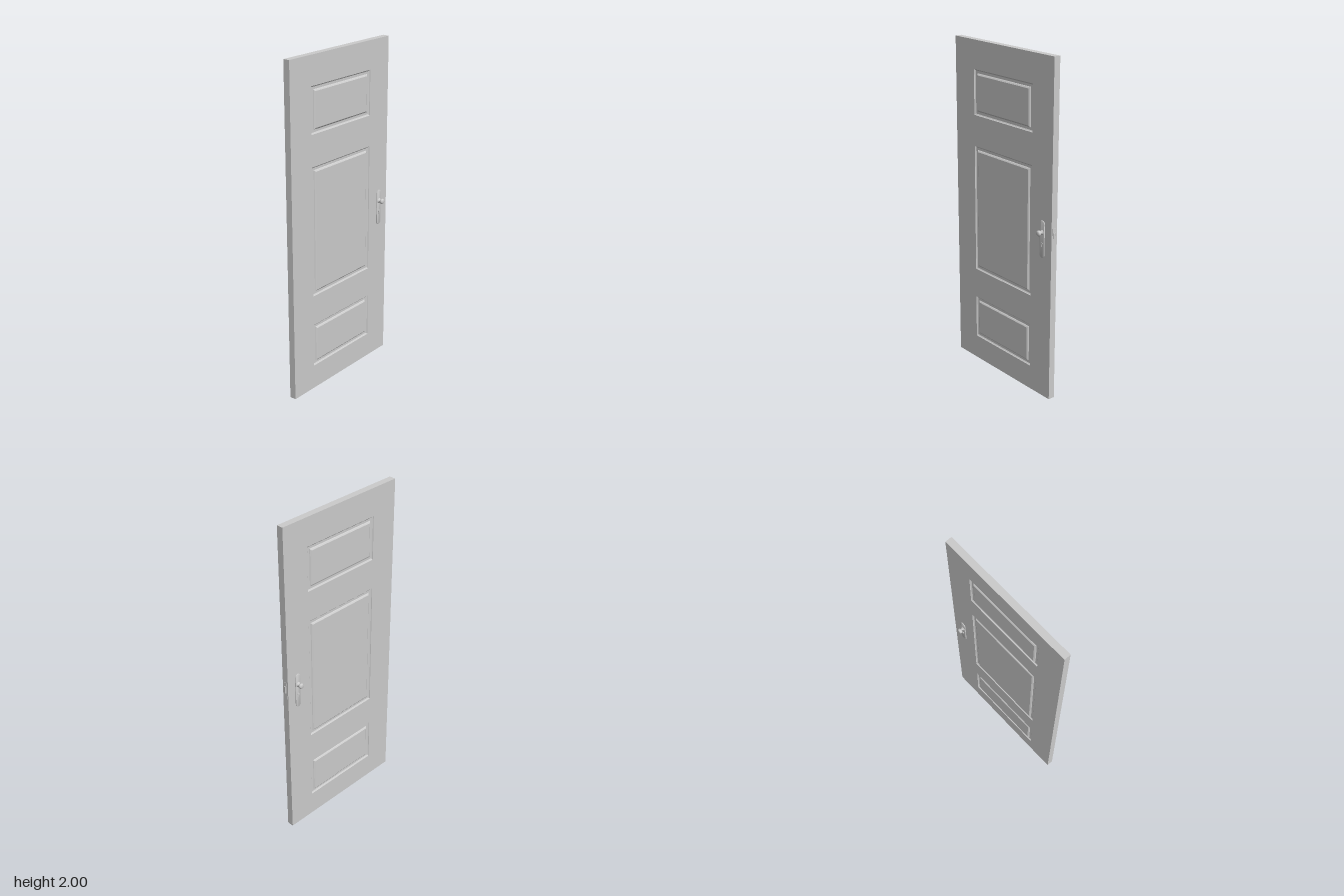
import * as THREE from 'three';
import { toCreasedNormals } from 'three/addons/utils/BufferGeometryUtils.js';

const material = new THREE.MeshStandardMaterial({ color: 0xcccccc });
const DOOR = { left: -0.427, right: 0.42, height: 2, half: 0.02 };
const PANEL_X = -0.003, PANEL_W = 0.51;
const PANELS = [
  { name: 'topPanel', y0: 1.565, y1: 1.832 },
  { name: 'middlePanel', y0: 0.602, y1: 1.38 },
  { name: 'bottomPanel', y0: 0.15, y1: 0.418 },
];
const HANDLE_X = 0.346;

function part(name, geometry, parent) {
  const mesh = new THREE.Mesh(geometry, material);
  mesh.name = name;
  parent.add(mesh);
  return mesh;
}

function rectangle(PathType, x0, y0, x1, y1) {
  return new PathType([[x0, y0], [x1, y0], [x1, y1], [x0, y1]].map(p => new THREE.Vector2(...p)));
}

// Grooved moulding around a raised field, as nested rectangular rings
function panelGeometry(w, h) {
  const profile = [[0, 0.02], [0.002, 0.016], [0.008, 0.012], [0.022, 0.012], [0.025, 0.016], [0.032, 0.0206]];
  const rings = profile.map(([inset, z]) => {
    const x = w / 2 - inset, y = h / 2 - inset;
    return [[-x, -y, z], [x, -y, z], [x, y, z], [-x, y, z]];
  });
  const positions = [];
  const quad = (a, b, c, d) => positions.push(...a, ...b, ...c, ...a, ...c, ...d);
  for (let i = 0; i < rings.length - 1; i++) {
    for (let k = 0; k < 4; k++) {
      const n = (k + 1) % 4;
      quad(rings[i][k], rings[i][n], rings[i + 1][n], rings[i + 1][k]);
    }
  }
  quad(...rings[rings.length - 1]);
  const geometry = new THREE.BufferGeometry();
  geometry.setAttribute('position', new THREE.Float32BufferAttribute(positions, 3));
  geometry.computeVertexNormals();
  return geometry;
}

// Knob, long rounded plate and keyhole cylinder for one side
function createHandle() {
  const handle = new THREE.Group();
  const r = 0.019, low = 0.885, high = 1.066;
  const outline = new THREE.Shape();
  outline.absarc(0, high, r, 0, Math.PI);
  outline.absarc(0, low, r, Math.PI, Math.PI * 2);
  outline.closePath();
  const plate = new THREE.ExtrudeGeometry(outline, {
    depth: 0.003, bevelEnabled: true, bevelThickness: 0.002, bevelSize: 0.002, bevelOffset: -0.002,
    bevelSegments: 2, curveSegments: 16,
  });
  part('handlePlate', toCreasedNormals(plate, 0.6), handle).position.z = 0.02;

  const knobProfile = [
    [0.015, 0.024], [0.015, 0.027], [0.011, 0.029], [0.0075, 0.033], [0.007, 0.037], [0.0085, 0.0395],
    [0.013, 0.0405], [0.0155, 0.043], [0.0165, 0.048], [0.0155, 0.053], [0.0125, 0.0565], [0.007, 0.058], [0, 0.0583],
  ].map(p => new THREE.Vector2(...p));
  const knob = part('knob', new THREE.LatheGeometry(knobProfile, 32), handle);
  knob.rotation.x = Math.PI / 2;
  knob.position.y = 1.017;

  const cylinder = part('lockCylinder', toCreasedNormals(new THREE.CylinderGeometry(0.007, 0.007, 0.006, 24), 0.6), handle);
  cylinder.rotation.x = Math.PI / 2;
  cylinder.position.set(0, 0.952, 0.026);
  part('keyway', new THREE.BoxGeometry(0.003, 0.016, 0.003), handle).position.set(0, 0.94, 0.0255);
  return handle;
}

export function createModel() {
  const door = new THREE.Group();
  door.name = 'door';

  // Slab with an opening for each panel
  const slab = rectangle(THREE.Shape, DOOR.left, 0, DOOR.right, DOOR.height);
  for (const { y0, y1 } of PANELS) {
    slab.holes.push(rectangle(THREE.Path, PANEL_X - PANEL_W / 2, y0, PANEL_X + PANEL_W / 2, y1));
  }
  part('doorSlab', new THREE.ExtrudeGeometry(slab, { depth: DOOR.half * 2, bevelEnabled: false }), door)
    .position.z = -DOOR.half;

  // Panels and handles on both faces
  for (const [side, turn] of [['front', 0], ['back', Math.PI]]) {
    for (const { name, y0, y1 } of PANELS) {
      const panel = part(`${side} ${name}`, panelGeometry(PANEL_W, y1 - y0), door);
      panel.position.set(PANEL_X, (y0 + y1) / 2, 0);
      panel.rotation.y = turn;
    }
    const handle = createHandle();
    handle.name = `${side} handle`;
    handle.position.x = HANDLE_X;
    handle.rotation.y = turn;
    door.add(handle);
  }

  // Latch: edge plate and slanted bolt
  part('latchPlate', new THREE.BoxGeometry(0.002, 0.11, 0.024), door).position.set(0.4202, 1.0, 0);
  const bolt = new THREE.Shape([[0.41, -0.01], [0.4235, -0.01], [0.427, 0], [0.427, 0.004], [0.4215, 0.01], [0.41, 0.01]]
    .map(([x, z]) => new THREE.Vector2(x, z)));
  const latch = part('latchBolt', new THREE.ExtrudeGeometry(bolt, { depth: 0.044, bevelEnabled: false }), door);
  latch.rotation.x = -Math.PI / 2;
  latch.position.y = 0.985;

  return door;
}
